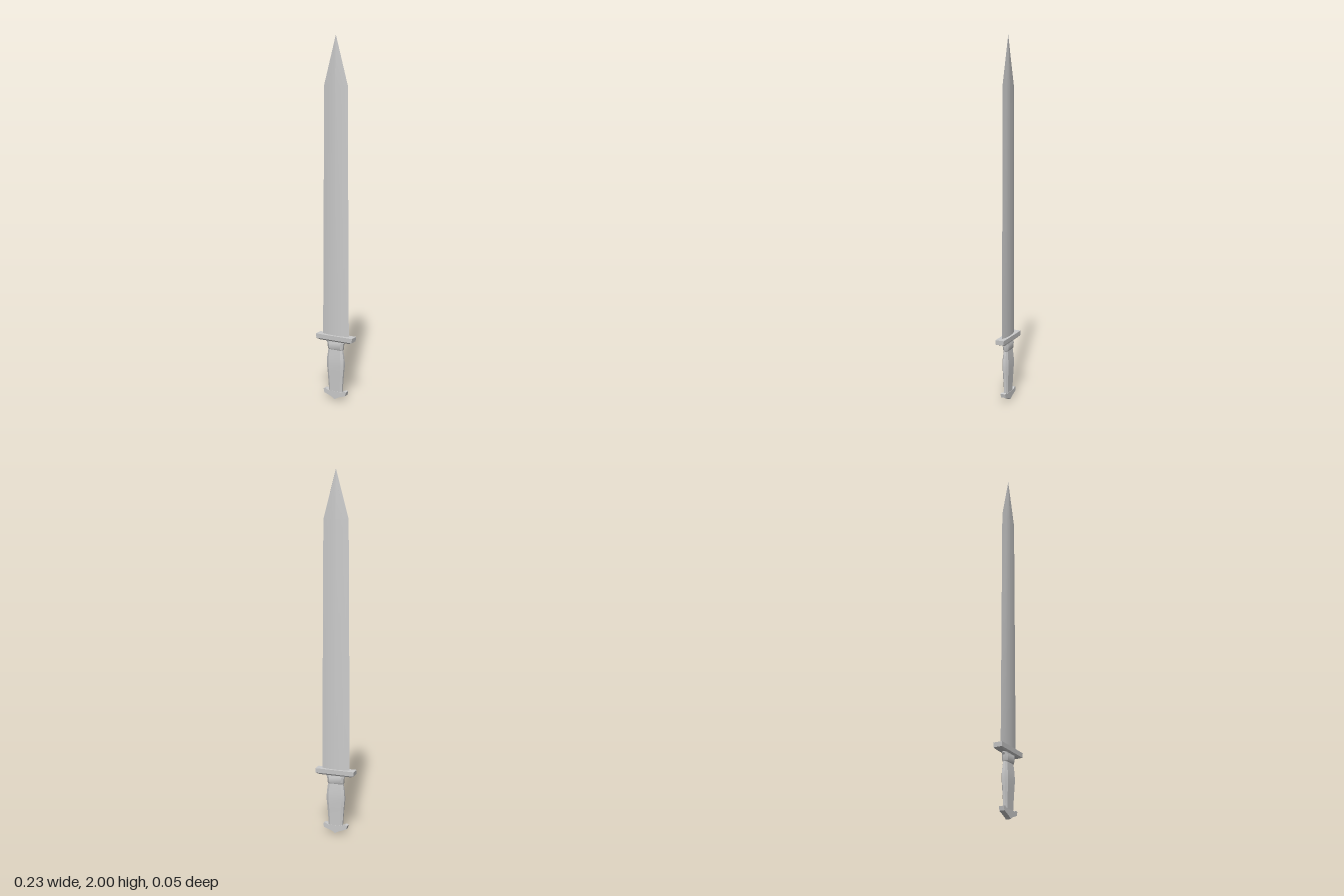
import * as THREE from 'three';
import { toCreasedNormals } from 'three/addons/utils/BufferGeometryUtils.js';

const material = new THREE.MeshStandardMaterial({ color: 0xcccccc });

// Joins scaled copies of one cross-section; rows are [y, halfWidth, halfDepth]
function loft(name, section, rows, crease) {
  const n = section.length, positions = [], index = [];
  for (const [y, w, d] of rows)
    for (const [x, z] of section) positions.push(x * w, y, z * d);
  for (let r = 0; r < rows.length - 1; r++) {
    for (let i = 0; i < n; i++) {
      const a = r * n + i, b = r * n + (i + 1) % n;
      index.push(a, a + n, b, b, a + n, b + n);
    }
  }
  // End caps
  const last = (rows.length - 1) * n;
  for (let i = 1; i < n - 1; i++) {
    index.push(0, i, i + 1);
    index.push(last, last + i + 1, last + i);
  }
  const geometry = new THREE.BufferGeometry();
  geometry.setAttribute('position', new THREE.Float32BufferAttribute(positions, 3));
  geometry.setIndex(index);
  const mesh = new THREE.Mesh(toCreasedNormals(geometry, crease), material);
  mesh.name = name;
  return mesh;
}

export function createModel() {
  const group = new THREE.Group();
  group.name = 'sword';

  // Cross-sections running from +x towards +z
  const lens = [[1, 0], [0.55, 0.72], [0, 1], [-0.55, 0.72], [-1, 0], [-0.55, -0.72], [0, -1], [0.55, -0.72]];
  const rectangle = [[1, -1], [1, 1], [-1, 1], [-1, -1]];
  const chamfered = [[1, -0.45], [1, 0.45], [0.72, 1], [-0.72, 1], [-1, 0.45], [-1, -0.45], [-0.72, -1], [0.72, -1]];

  // Slightly tapered blade with a pointed tip
  group.add(loft('blade', lens, [
    [0.365, 0.081, 0.012],
    [1.74, 0.071, 0.01],
    [2.0, 0.0005, 0.0005],
  ], 0.5));

  // Crossguard, bevelled underneath
  group.add(loft('guard', rectangle, [
    [0.337, 0.092, 0.018],
    [0.345, 0.111, 0.024],
    [0.37, 0.113, 0.025],
  ], 0.2));

  // Grip with a swelling middle and a collar below the guard
  group.add(loft('grip', chamfered, [
    [0.04, 0.041, 0.012],
    [0.07, 0.042, 0.013],
    [0.15, 0.048, 0.016],
    [0.2, 0.053, 0.018],
    [0.24, 0.051, 0.017],
    [0.288, 0.044, 0.013],
    [0.294, 0.047, 0.016],
    [0.322, 0.049, 0.018],
    [0.332, 0.055, 0.015],
    [0.34, 0.055, 0.015],
  ], 0.4));

  // Winged pommel ending in a small point
  const half = [[0, 0], [0.012, 0.009], [0.03, 0.017], [0.066, 0.03], [0.071, 0.052], [0.058, 0.055], [0.041, 0.047]];
  const mirrored = half.slice(1).reverse().map(([x, y]) => [-x, y]);
  const shape = new THREE.Shape([...half, ...mirrored].map(([x, y]) => new THREE.Vector2(x, y)));
  const depth = 0.028;
  const pommelGeometry = new THREE.ExtrudeGeometry(shape, { depth, bevelEnabled: false });
  pommelGeometry.translate(0, 0, -depth / 2);
  const pommel = new THREE.Mesh(pommelGeometry, material);
  pommel.name = 'pommel';
  group.add(pommel);

  return group;
}
